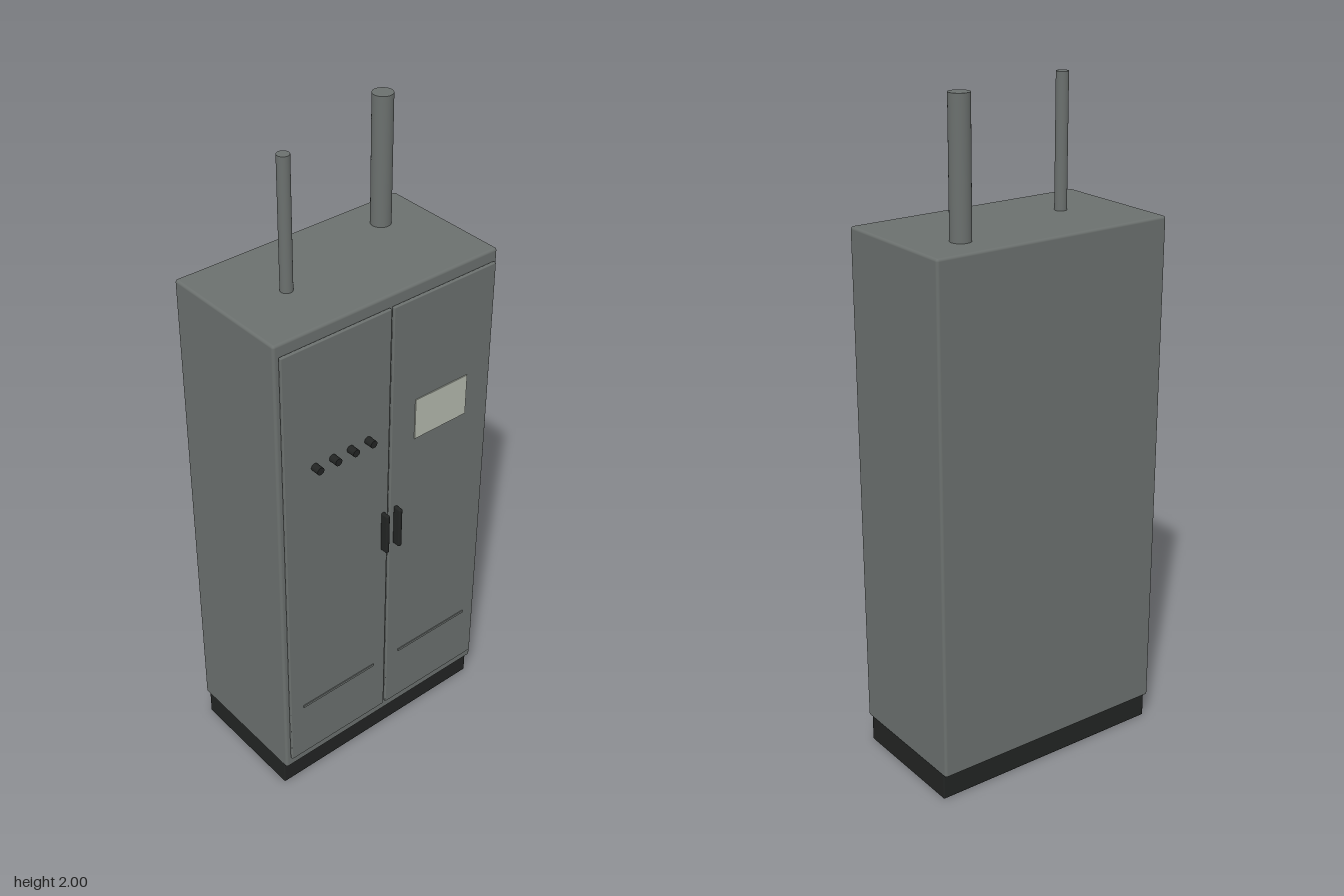
import * as THREE from 'three';
import { RoundedBoxGeometry } from 'three/addons/geometries/RoundedBoxGeometry.js';

function material(name, color) {
  const m = new THREE.MeshStandardMaterial({ color });
  m.name = name;
  return m;
}

export function createModel() {
  const group = new THREE.Group();
  const grey = material('cabinet grey', 0x6b706e);
  const black = material('black plastic', 0x222423);
  const pale = material('pale label', 0xb3b8ad);

  const add = (name, geometry, mat, x, y, z) => {
    const mesh = new THREE.Mesh(geometry, mat);
    mesh.name = name;
    mesh.position.set(x, y, z);
    group.add(mesh);
    return mesh;
  };
  // box given by its [min, max] range on each axis, optionally rounded
  const box = (name, mat, [x0, x1], [y0, y1], [z0, z1], r = 0) => {
    const size = [x1 - x0, y1 - y0, z1 - z0];
    const geometry = r ? new RoundedBoxGeometry(...size, 3, r) : new THREE.BoxGeometry(...size);
    return add(name, geometry, mat, (x0 + x1) / 2, (y0 + y1) / 2, (z0 + z1) / 2);
  };

  // plinth and cabinet body; the doors are on the +x side
  box('plinth', black, [-0.215, 0.175], [0, 0.082], [-0.38, 0.38], 0.004);
  box('cabinetBody', grey, [-0.23, 0.191], [0.08, 1.615], [-0.383, 0.383], 0.008);

  // twin doors, each with a handle and a low trim strip
  for (const s of [-1, 1]) {
    const side = s > 0 ? 'left' : 'right';
    const span = (a, b) => (s > 0 ? [a, b] : [-b, -a]);
    box(side + 'Door', grey, [0.192, 0.203], [0.12, 1.58], span(0.004, 0.369), 0.003);
    box(side + 'Handle', black, [0.202, 0.23], [0.775, 0.912], span(0.017, 0.03), 0.005);
    box(side + 'TrimStrip', grey, [0.202, 0.206], [0.316, 0.324], span(0.05, 0.323));
  }

  // label plate
  box('labelPlate', pale, [0.202, 0.206], [1.12, 1.252], [-0.28, -0.088]);

  // row of control knobs
  for (let i = 0; i < 4; i++) {
    const knob = add('knob', new THREE.CylinderGeometry(0.0115, 0.0115, 0.028, 20), black,
      0.216, 1.196, 0.083 + i * 0.0615);
    knob.rotation.z = -Math.PI / 2;
  }

  // pipes rising from the roof
  for (const [name, r, x, z] of [['largePipe', 0.03, -0.117, -0.232], ['smallPipe', 0.018, 0, 0.191]]) {
    add(name, new THREE.CylinderGeometry(r, r, 0.39, 32), grey, x, 1.805, z);
  }
  return group;
}
